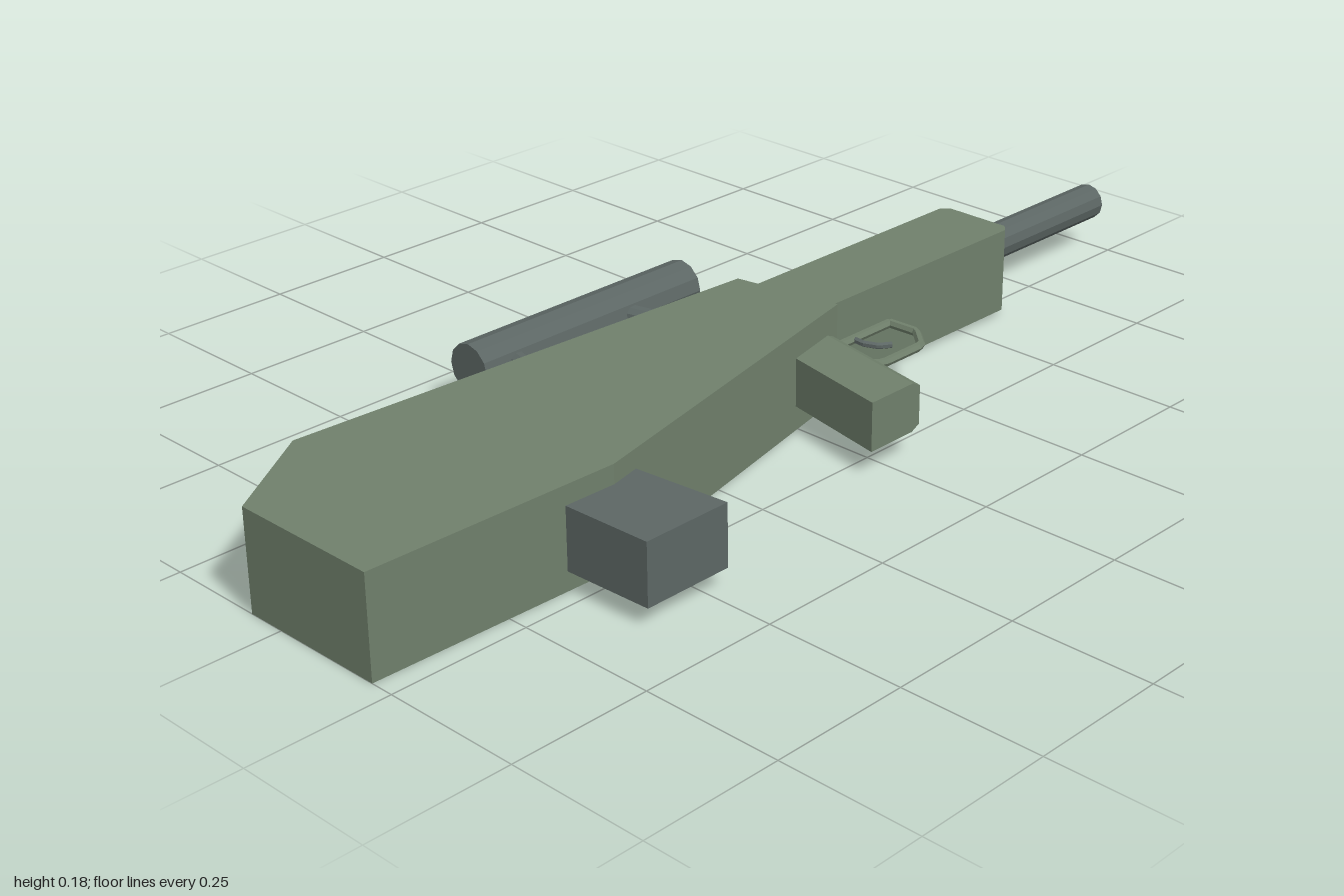
import * as THREE from 'three';

const MID = 0.09; // height of the centre plane

const green = new THREE.MeshStandardMaterial({ color: 0x6f7f6b });
green.name = 'olive green';
const grey = new THREE.MeshStandardMaterial({ color: 0x5c6664 });
grey.name = 'gunmetal grey';
const dark = new THREE.MeshStandardMaterial({ color: 0x3b4143 });
dark.name = 'dark grey';

export function createModel() {
  const model = new THREE.Group();
  model.name = 'model';

  function add(name, geometry, material, x = 0, y = 0, z = 0) {
    // faceted normals
    const flat = geometry.index ? geometry.toNonIndexed() : geometry;
    flat.computeVertexNormals();
    const mesh = new THREE.Mesh(flat, material);
    mesh.name = name;
    mesh.position.set(x, y, z);
    model.add(mesh);
    return mesh;
  }

  const shapeOf = (points) => new THREE.Shape(points.map(([a, b]) => new THREE.Vector2(a, b)));

  // slab with an (x, z) outline, centred on the middle plane
  function slab(name, outline, thickness, material) {
    const geo = new THREE.ExtrudeGeometry(shapeOf(outline), { depth: thickness, bevelEnabled: false });
    geo.rotateX(Math.PI / 2);
    add(name, geo, material, 0, MID + thickness / 2, 0);
  }

  // tube along +x with a recessed dark bore at its front end
  function boredTube(name, x0, x1, z, radius, bore, recess) {
    const len = x1 - x0;
    const profile = [[0, 0], [radius, 0], [radius, len], [bore, len], [bore, len - recess]]
      .map(([r, h]) => new THREE.Vector2(r, h));
    const geo = new THREE.LatheGeometry(profile, 12);
    geo.rotateZ(-Math.PI / 2);
    add(name, geo, grey, x0, MID, z);
    const disc = new THREE.CircleGeometry(bore, 12);
    disc.rotateY(Math.PI / 2);
    add(name + 'Bore', disc, dark, x1 - recess, MID, z);
  }

  // round or square bar following straight (x, z) segments
  function bar(name, points, radius, sides, material) {
    const path = new THREE.CurvePath();
    const v = points.map(([x, z]) => new THREE.Vector3(x, MID, z));
    for (let i = 0; i < v.length - 1; i++) path.add(new THREE.LineCurve3(v[i], v[i + 1]));
    add(name, new THREE.TubeGeometry(path, (v.length - 1) * 6, radius, sides, false), material);
  }

  // main bodies
  slab('stock', [[-1, -0.07], [-0.82, -0.188], [0.095, -0.135], [0.13, 0.065], [-0.54, 0.22], [-1, 0.208]], 0.178, green);
  slab('forend', [[0.08, -0.11], [0.61, -0.11], [0.625, -0.096], [0.625, 0.032], [0.61, 0.045], [0.08, 0.045]], 0.158, green);
  slab('magazine', [[-0.637, 0.2], [-0.483, 0.2], [-0.465, 0.382], [-0.631, 0.382]], 0.11, grey);

  // grip: chamfered section, leaning back along its length
  const section = [[0, -0.044], [0.1, -0.044], [0.118, -0.035], [0.118, 0.035], [0.1, 0.044], [0, 0.044]];
  const grip = new THREE.ExtrudeGeometry(shapeOf(section), { depth: 0.24, bevelEnabled: false });
  const p = grip.attributes.position;
  for (let i = 0; i < p.count; i++) p.setX(i, p.getX(i) - p.getZ(i) * 0.2);
  add('grip', grip, green, 0, MID, 0.06);

  // barrel and scope
  boredTube('barrel', 0.6, 1, -0.054, 0.034, 0.021, 0.01);
  boredTube('scope', -0.347, 0.16, -0.338, 0.046, 0.029, 0.01);

  // scope mounts
  for (const [name, x0, x1] of [['rearMount', -0.27, -0.295], ['frontMount', -0.006, 0.022]]) {
    const from = new THREE.Vector3(x0, MID, -0.31);
    const to = new THREE.Vector3(x1, MID, -0.2);
    const mount = add(name, new THREE.CylinderGeometry(0.02, 0.02, from.distanceTo(to), 10), grey);
    mount.position.copy(from).lerp(to, 0.5);
    mount.quaternion.setFromUnitVectors(new THREE.Vector3(0, 1, 0), to.clone().sub(from).normalize());
  }

  // trigger guard and trigger
  bar('triggerGuard', [[0.285, 0.05], [0.115, 0.05], [0.113, 0.115], [0.148, 0.152], [0.25, 0.152],
    [0.288, 0.11], [0.285, 0.05]], 0.008, 6, green);
  bar('trigger', [[0.19, 0.05], [0.188, 0.075], [0.198, 0.1], [0.218, 0.113]], 0.006, 6, grey);

  return model;
}
